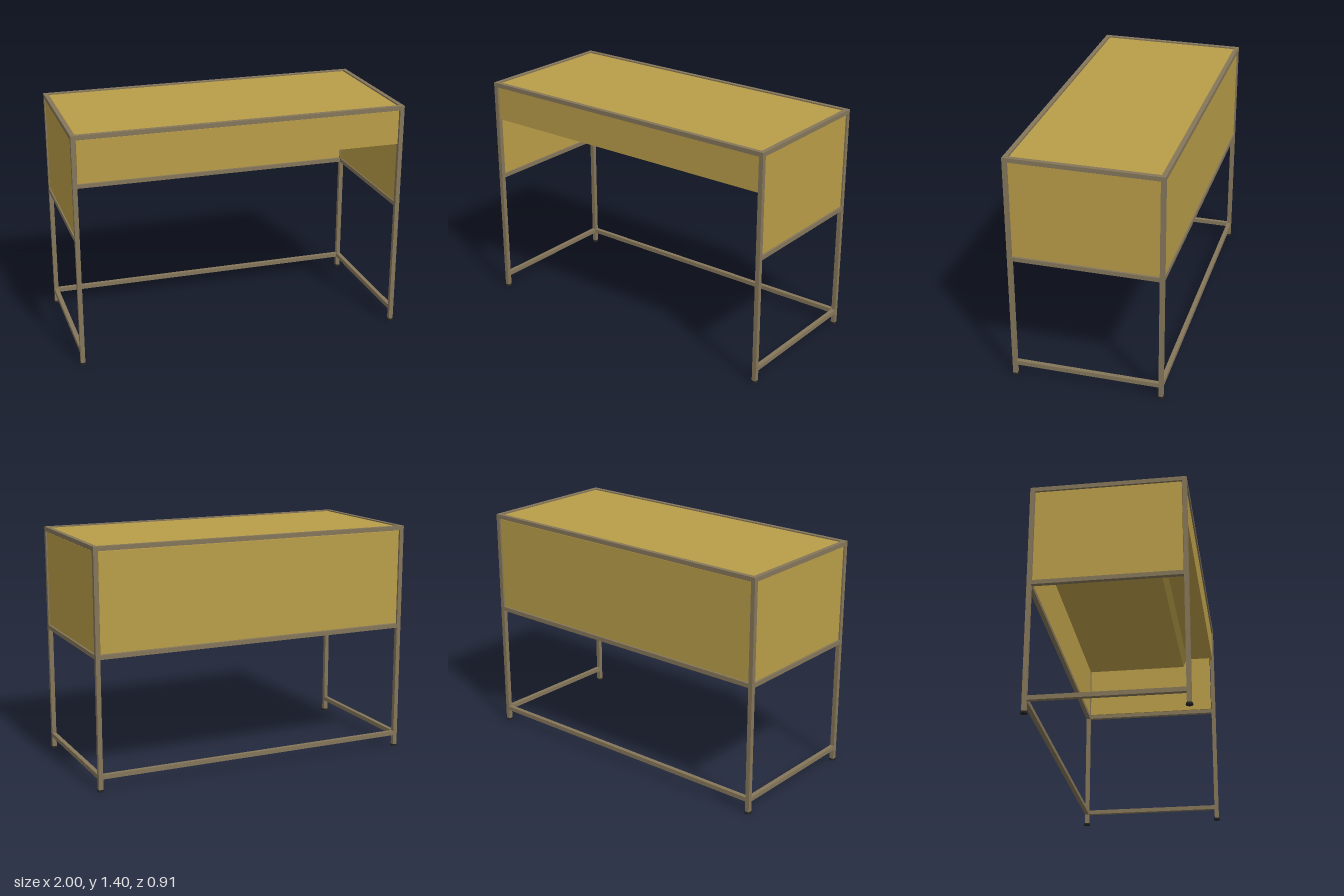
import * as THREE from 'three';

const LEG_X = 0.98, LEG_Z = 0.437, TUBE = 0.026, TOP = 1.4;

export function createModel() {
  const model = new THREE.Group();
  model.name = 'desk';
  const steel = new THREE.MeshStandardMaterial({ color: 0x85765a });
  const wood = new THREE.MeshStandardMaterial({ color: 0xb99d48 });
  const rubber = new THREE.MeshStandardMaterial({ color: 0x222222 });

  const add = (name, geometry, material, x, y, z) => {
    const mesh = new THREE.Mesh(geometry, material);
    mesh.name = name;
    mesh.position.set(x, y, z);
    model.add(mesh);
    return mesh;
  };
  const box = (name, material, w, h, d, x, y, z) =>
    add(name, new THREE.BoxGeometry(w, h, d), material, x, y, z);

  const spanX = 2 * LEG_X - TUBE, spanZ = 2 * LEG_Z - TUBE;
  const topY = TOP - TUBE / 2, midY = 0.781, lowY = 0.086;

  // Square tube legs on round glides
  for (const sx of [-1, 1]) for (const sz of [-1, 1]) {
    const side = (sz > 0 ? 'front' : 'back') + (sx > 0 ? 'Left' : 'Right');
    box(side + 'Leg', steel, TUBE, TOP - 0.01, TUBE, sx * LEG_X, (TOP + 0.01) / 2, sz * LEG_Z);
    add(side + 'Foot', new THREE.CylinderGeometry(0.018, 0.02, 0.012, 24), rubber,
      sx * LEG_X, 0.006, sz * LEG_Z);
  }

  // Rails: three levels on the sides and back, top level only on the front
  for (const [level, y] of [['top', topY], ['middle', midY], ['bottom', lowY]]) {
    for (const sx of [-1, 1])
      box(level + (sx > 0 ? 'Left' : 'Right') + 'Rail', steel, TUBE, TUBE, spanZ, sx * LEG_X, y, 0);
    box(level + 'BackRail', steel, spanX, TUBE, TUBE, 0, y, -LEG_Z);
  }
  box('topFrontRail', steel, spanX, TUBE, TUBE, 0, topY, LEG_Z);

  // Infill panels, slightly recessed in the frame with a narrow gap
  const gap = 0.004, thick = 0.016;
  const panelBottom = midY + TUBE / 2 + gap, panelTop = TOP - TUBE - gap;
  const panelH = panelTop - panelBottom, panelY = (panelTop + panelBottom) / 2;
  for (const sx of [-1, 1])
    box(sx > 0 ? 'leftPanel' : 'rightPanel', wood, thick, panelH, spanZ - 2 * gap, sx * (LEG_X - 0.002), panelY, 0);
  box('backPanel', wood, spanX - 2 * gap, panelH, thick, 0, panelY, -LEG_Z + 0.002);
  box('desktop', wood, spanX - 2 * gap, thick, spanZ - 2 * gap, 0, TOP - 0.014, 0);

  // Front apron
  const apronBottom = 1.165;
  box('frontApron', wood, spanX - 2 * gap, panelTop - apronBottom, thick,
    0, (panelTop + apronBottom) / 2, LEG_Z - 0.004);

  // Stepped underside of the storage compartment, as a (z, y) profile run along x
  const profile = new THREE.Shape([
    [-0.424, 1.125], [0.235, 1.125], [0.262, 1.182], [0.424, 1.182],
    [0.424, 1.197], [0.252, 1.197], [0.225, 1.14], [-0.424, 1.14],
  ].map(([z, y]) => new THREE.Vector2(-z, y)));
  const width = spanX - 0.006;
  const tray = new THREE.ExtrudeGeometry(profile, { depth: width, bevelEnabled: false });
  tray.rotateY(Math.PI / 2);
  add('storageTray', tray, wood, -width / 2, 0, 0);

  return model;
}
